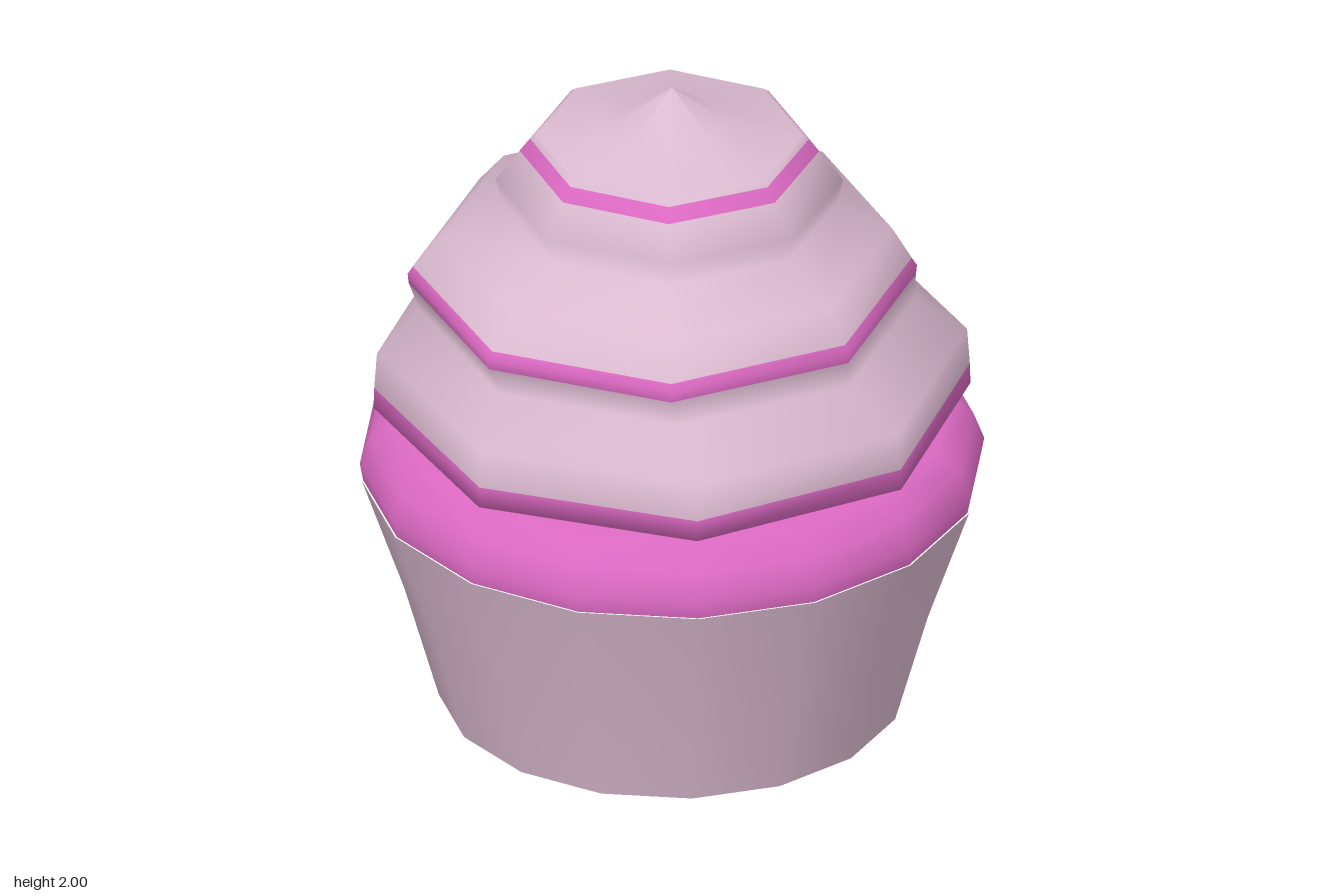
import * as THREE from 'three';

const palePink = new THREE.MeshStandardMaterial({ color: 0xdbbad0 });
palePink.name = 'palePink';
const hotPink = new THREE.MeshStandardMaterial({ color: 0xdb69c2 });
hotPink.name = 'hotPink';

// 16-sided turned part from [radius, y] points, bottom to top
function turned(name, points, material) {
  const profile = points.map(([r, y]) => new THREE.Vector2(r, y));
  const mesh = new THREE.Mesh(new THREE.LatheGeometry(profile, 16), material);
  mesh.name = name;
  return mesh;
}

// Eight-sided swirl; ring: [y, radius, twist, centre x, centre z, stripe above?]
function frosting() {
  const rings = [
    [0.93, 0.78, 0, 0, 0, 1],
    [0.975, 0.87, 0, 0, 0, 1],
    [1.04, 0.868, 0, 0, 0, 0],
    [1.155, 0.86, 0, 0, 0, 0],
    [1.28, 0.72, -0.04, -0.01, -0.01, 0],
    [1.365, 0.737, -0.05, -0.02, -0.02, 1],
    [1.395, 0.74, -0.05, -0.02, -0.02, 1],
    [1.42, 0.725, -0.05, -0.02, -0.02, 0],
    [1.52, 0.655, -0.06, -0.01, -0.01, 0],
    [1.61, 0.485, -0.09, 0, -0.01, 0],
    [1.69, 0.505, -0.09, 0, -0.01, 0],
    [1.785, 0.435, -0.09, 0, -0.01, 1],
    [1.825, 0.405, -0.09, 0, -0.01, 0],
    [1.84, 0.385, -0.09, 0, -0.01, 0],
    [1.885, 0.165, -0.09, 0, 0, 0],
    [2.0, 0, 0, 0, 0, 0],
  ];
  const sides = 8;
  const positions = [];
  const index = [];
  const geometry = new THREE.BufferGeometry();
  rings.forEach(([y, r, twist, cx, cz, stripe], i) => {
    for (let j = 0; j < sides; j++) {
      const a = (j / sides) * Math.PI * 2 + twist;
      positions.push(cx + r * Math.sin(a), y, cz + r * Math.cos(a));
    }
    if (i === rings.length - 1) return;
    geometry.addGroup(index.length, sides * 6, stripe);
    for (let j = 0; j < sides; j++) {
      const a = i * sides + j;
      const b = i * sides + ((j + 1) % sides);
      index.push(a, b, b + sides, a, b + sides, a + sides);
    }
  });
  geometry.setAttribute('position', new THREE.Float32BufferAttribute(positions, 3));
  geometry.setIndex(index);
  geometry.computeVertexNormals();
  const mesh = new THREE.Mesh(geometry, [palePink, hotPink]);
  mesh.name = 'frostingSwirl';
  return mesh;
}

export function createModel() {
  const model = new THREE.Group();
  model.name = 'cupcake';
  model.add(
    turned('underside', [[0, 0], [0.6, 0], [0.68, 0.012]], hotPink),
    turned('wrapper', [[0.68, 0.012], [0.78, 0.37], [0.905, 0.735]], palePink),
    turned('cakeRim', [[0.9, 0.735], [0.91, 0.79], [0.88, 0.87], [0.81, 0.93], [0.6, 0.945], [0, 0.945]], hotPink),
    frosting(),
  );
  return model;
}
